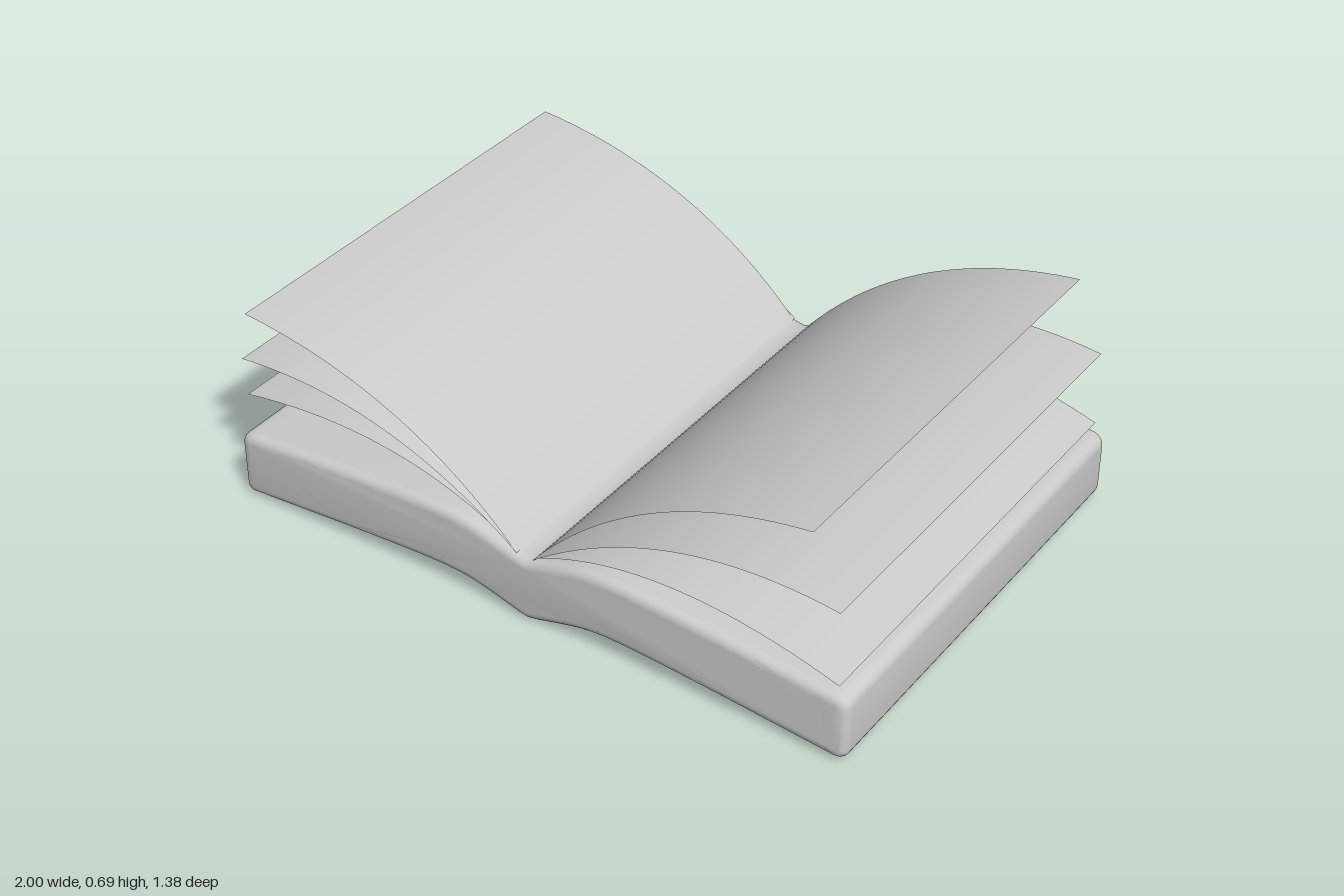
import * as THREE from 'three';
import { toCreasedNormals } from 'three/addons/utils/BufferGeometryUtils.js';

const grey = new THREE.MeshStandardMaterial({ color: 0xcccccc });
const paper = new THREE.MeshStandardMaterial({ color: 0xcccccc, side: THREE.DoubleSide });

const THICKNESS = 0.207;
const ROUND = 0.036;

// Sag and swell of the open book from gutter (x = 0) to fore edge (x = 1)
const swell = new THREE.SplineCurve([
  [0, 0], [0.03, 0.006], [0.1, 0.026], [0.19, 0.047], [0.28, 0.053],
  [0.4, 0.049], [0.6, 0.036], [0.8, 0.02], [1, 0.004],
].map(([x, y]) => new THREE.Vector2(x, y))).getPoints(64);

function lift(x) {
  const ax = Math.min(Math.abs(x), 1);
  let i = 1;
  while (i < swell.length - 1 && swell[i].x < ax) i++;
  const a = swell[i - 1], b = swell[i];
  return THREE.MathUtils.mapLinear(ax, a.x, b.x, a.y, b.y);
}

// Page block: rounded rectangle outline bent along the swell, with rounded front and back edges
function bookBlock() {
  const outline = [];
  const add = (x, y) => outline.push(new THREE.Vector2(x, y + lift(x)));
  const inner = 1 - ROUND;
  const corner = (sx, cy, from) => {
    for (let i = 0; i <= 6; i++) {
      const a = from + (i / 6) * Math.PI / 2;
      add(sx * inner + ROUND * Math.cos(a), cy + ROUND * Math.sin(a));
    }
  };
  const run = (dir, y) => {
    for (let i = 1; i < 56; i++) add(dir * inner * (i / 28 - 1), y);
  };
  run(1, 0);
  corner(1, ROUND, -Math.PI / 2);
  corner(1, THICKNESS - ROUND, 0);
  run(-1, THICKNESS);
  corner(-1, THICKNESS - ROUND, Math.PI / 2);
  corner(-1, ROUND, Math.PI);

  const bevel = 0.03, depth = 1.384 - 2 * bevel;
  const geometry = new THREE.ExtrudeGeometry(new THREE.Shape(outline), {
    depth, bevelEnabled: true, bevelThickness: bevel, bevelSize: bevel,
    bevelOffset: -bevel, bevelSegments: 5,
  });
  geometry.translate(0, 0, -depth / 2);
  const mesh = new THREE.Mesh(toCreasedNormals(geometry, 0.7), grey);
  mesh.name = 'bookBlock';
  return mesh;
}

// Loose page: thin sheet following a curve from the gutter to its tip
function loosePage(name, root, bend, tip, z) {
  const curve = new THREE.QuadraticBezierCurve(
    new THREE.Vector2(...root), new THREE.Vector2(...bend), new THREE.Vector2(...tip));
  const geometry = new THREE.PlaneGeometry(1, 1.355, 28, 1);
  const pos = geometry.attributes.position;
  for (let i = 0; i < pos.count; i++) {
    const p = curve.getPoint(pos.getX(i) + 0.5);
    pos.setXYZ(i, p.x, p.y, z - pos.getY(i));
  }
  // Sheets on the -x side run the other way, so turn their faces upward
  if (tip[0] < 0) geometry.setIndex([...geometry.index.array].reverse());
  geometry.computeVertexNormals();
  const mesh = new THREE.Mesh(geometry, paper);
  mesh.name = name;
  return mesh;
}

export function createModel() {
  const book = new THREE.Group();
  book.name = 'openBook';
  book.add(bookBlock());

  // Bend and tip of each page, highest first
  const leftPages = [
    [[0.36, 0.62], [0.88, 0.687]],
    [[0.45, 0.54], [0.966, 0.475]],
    [[0.42, 0.405], [0.966, 0.237]],
  ];
  const rightPages = [
    [[-0.38, 0.585], [-0.937, 0.627]],
    [[-0.44, 0.53], [-0.966, 0.469]],
    [[-0.4, 0.45], [-0.966, 0.345]],
  ];
  const shift = [0.005, 0.005, -0.004];
  leftPages.forEach(([bend, tip], i) =>
    book.add(loosePage('leftPage' + (i + 1), [0.025, 0.213], bend, tip, shift[i])));
  rightPages.forEach(([bend, tip], i) =>
    book.add(loosePage('rightPage' + (i + 1), [-0.03, 0.213], bend, tip, shift[i])));
  return book;
}
